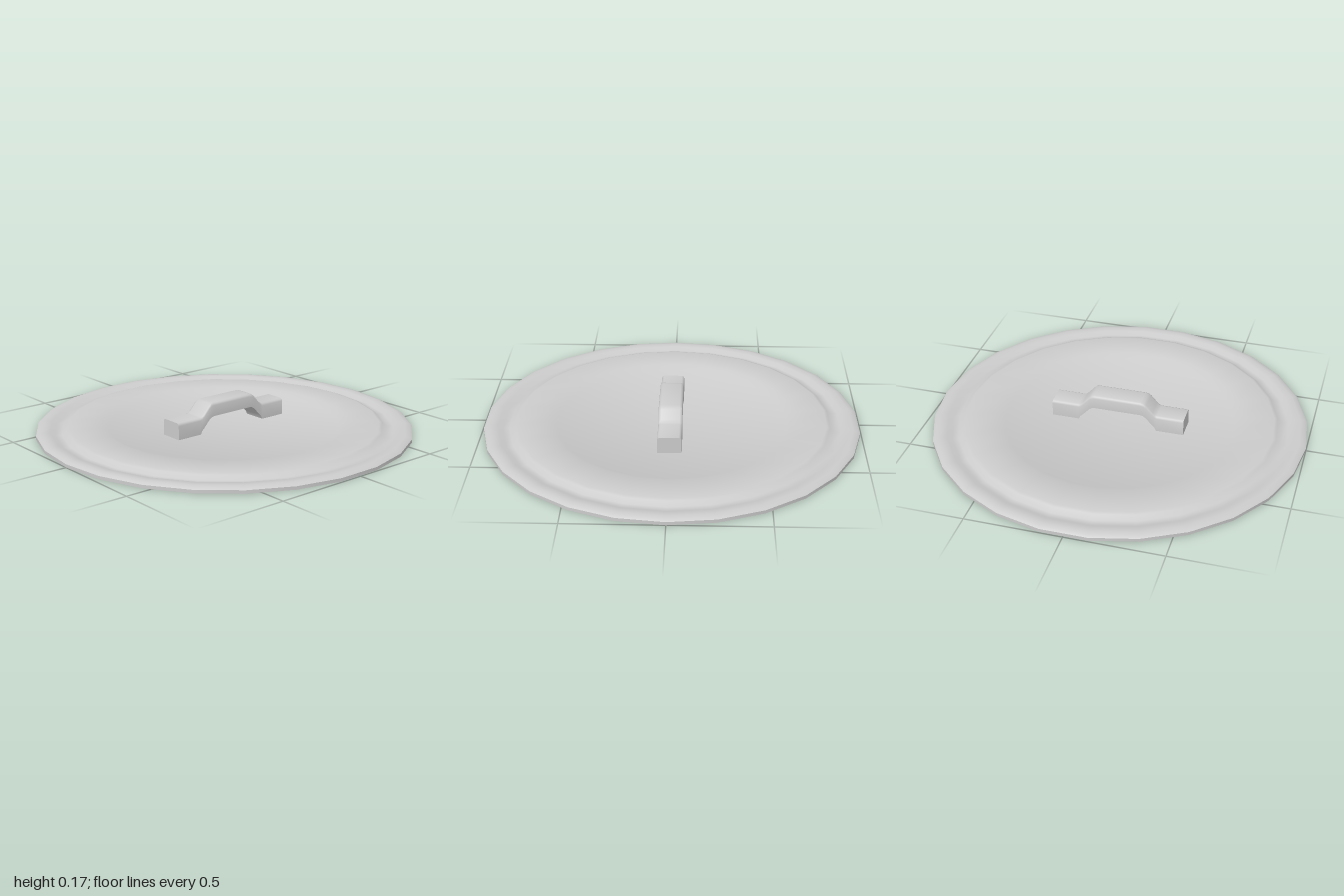
import * as THREE from 'three';
import { toCreasedNormals } from 'three/addons/utils/BufferGeometryUtils.js';

const SIDES = 26;

// Sweeps a rounded-top section along x; each station is [x, bottom y, top y]
function sweptBar(stations, zBack, zFront, radius) {
  const pos = [], index = [];
  const c = radius * 0.3;
  for (const [x, lo, hi] of stations) {
    const half = [[0, lo], [0, hi - radius], [c, hi - c], [radius, hi]];
    for (const [inset, y] of half) pos.push(x, y, zFront - inset);
    for (const [inset, y] of half.reverse()) pos.push(x, y, zBack + inset);
  }
  const n = 8, last = (stations.length - 1) * n;
  for (let i = 0; i < last; i += n) {
    for (let j = 0; j < n; j++) {
      const a = i + j, b = i + (j + 1) % n;
      index.push(a, a + n, b, a + n, b + n, b);
    }
  }
  // End caps
  for (let j = 1; j < n - 1; j++) {
    index.push(0, j, j + 1, last, last + j + 1, last + j);
  }
  const geo = new THREE.BufferGeometry();
  geo.setAttribute('position', new THREE.Float32BufferAttribute(pos, 3));
  geo.setIndex(index);
  return toCreasedNormals(geo, 0.85);
}

export function createModel() {
  const group = new THREE.Group();
  group.name = 'lid';
  const material = new THREE.MeshStandardMaterial({ color: 0xcccccc });

  // Lid plate: flat base, rounded rim, groove, raised ring and sunken centre
  const profile = [
    [0, 0], [1, 0], [1, 0.017], [0.988, 0.025], [0.965, 0.029], [0.925, 0.028],
    [0.9, 0.013], [0.865, 0.013], [0.842, 0.033], [0.825, 0.038],
    [0.655, 0.038], [0.617, 0.018], [0, 0.018],
  ].map(([r, y]) => new THREE.Vector2(r, y));
  const plateGeo = new THREE.LatheGeometry(profile, SIDES, Math.PI / 2);
  const plate = new THREE.Mesh(toCreasedNormals(plateGeo, 0.95), material);
  plate.name = 'lidPlate';
  group.add(plate);

  // Handle: one half of the arch, mirrored for the other
  const half = [
    [-0.36, 0.015, 0.106], [-0.215, 0.015, 0.106], [-0.205, 0.036, 0.109],
    [-0.19, 0.05, 0.121], [-0.155, 0.088, 0.16], [-0.142, 0.097, 0.169],
    [-0.125, 0.101, 0.173],
  ];
  const stations = [...half, ...half.map(([x, lo, hi]) => [-x, lo, hi]).reverse()];
  const handle = new THREE.Mesh(sweptBar(stations, -0.06, 0.065, 0.014), material);
  handle.name = 'handle';
  group.add(handle);

  return group;
}
